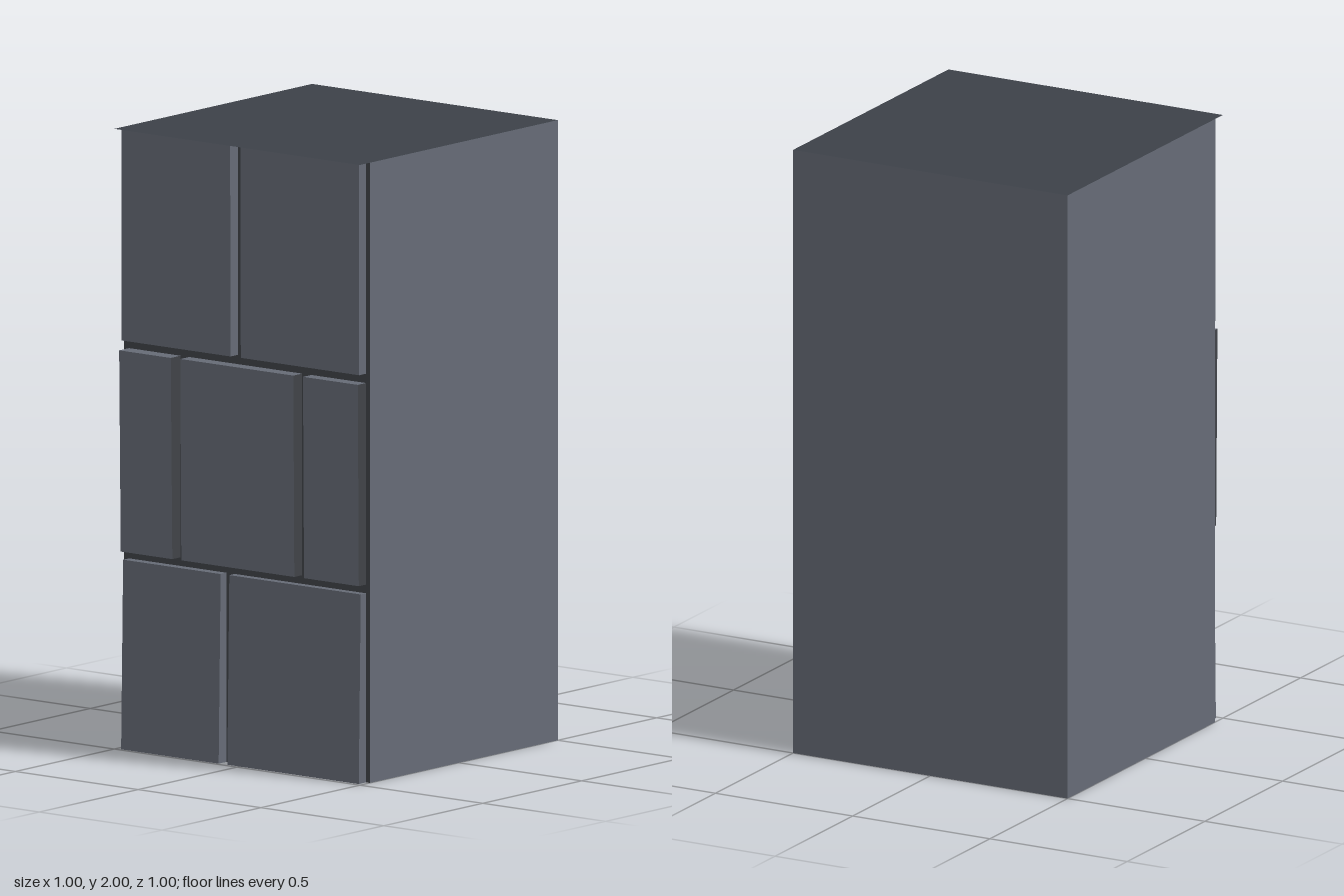
import * as THREE from 'three';

export function createModel() {
  const model = new THREE.Group();
  const material = (name, color) => {
    const m = new THREE.MeshStandardMaterial({ color, side: THREE.DoubleSide });
    m.name = name;
    return m;
  };
  const stone = material('stone', 0x666b76);
  const mortar = material('mortar', 0x404348);
  const cap = material('capStone', 0x3c4148);

  // Open-bottomed shell made of single sheets
  function sheet(name, w, h, pos, rot, mat) {
    const mesh = new THREE.Mesh(new THREE.PlaneGeometry(w, h), mat);
    mesh.name = name;
    mesh.position.set(...pos);
    mesh.rotation.set(...rot);
    model.add(mesh);
  }
  const q = Math.PI / 2;
  sheet('backWall', 1, 2, [0, 1, -0.5], [0, Math.PI, 0], stone);
  for (const s of [1, -1]) {
    sheet(s > 0 ? 'leftWall' : 'rightWall', 0.95, 2, [s * 0.5, 1, -0.025], [0, s * q, 0], stone);
  }
  sheet('mortarWall', 1, 2, [0, 1, 0.45], [0, 0, 0], mortar);
  sheet('topCap', 1, 1, [0, 2, 0], [-q, 0, 0], cap);

  // Stone slab whose face leans from depth zBottom to depth zTop
  function slab([x0, x1, y0, y1, zBottom, zTop], sides) {
    const geo = new THREE.BoxGeometry(x1 - x0, y1 - y0, 1);
    const p = geo.attributes.position;
    for (let i = 0; i < p.count; i++) {
      p.setZ(i, p.getZ(i) < 0 ? 0.45 : p.getY(i) > 0 ? zTop : zBottom);
    }
    geo.computeVertexNormals();
    const mesh = new THREE.Mesh(geo, [sides, sides, stone, stone, stone, stone]);
    mesh.name = 'frontSlab';
    mesh.position.set((x0 + x1) / 2, (y0 + y1) / 2, 0);
    model.add(mesh);
  }
  // Bottom, middle and top courses
  slab([-0.48, -0.083, 0, 0.61, 0.49, 0.48], stone);
  slab([-0.05, 0.485, 0, 0.61, 0.487, 0.477], stone);
  slab([-0.48, -0.27, 0.638, 1.288, 0.492, 0.5], mortar);
  slab([-0.235, 0.225, 0.638, 1.288, 0.49, 0.495], mortar);
  slab([0.262, 0.485, 0.638, 1.288, 0.487, 0.492], mortar);
  slab([-0.48, -0.037, 1.318, 1.998, 0.487, 0.489], stone);
  slab([0.003, 0.485, 1.318, 1.998, 0.485, 0.487], stone);

  return model;
}
